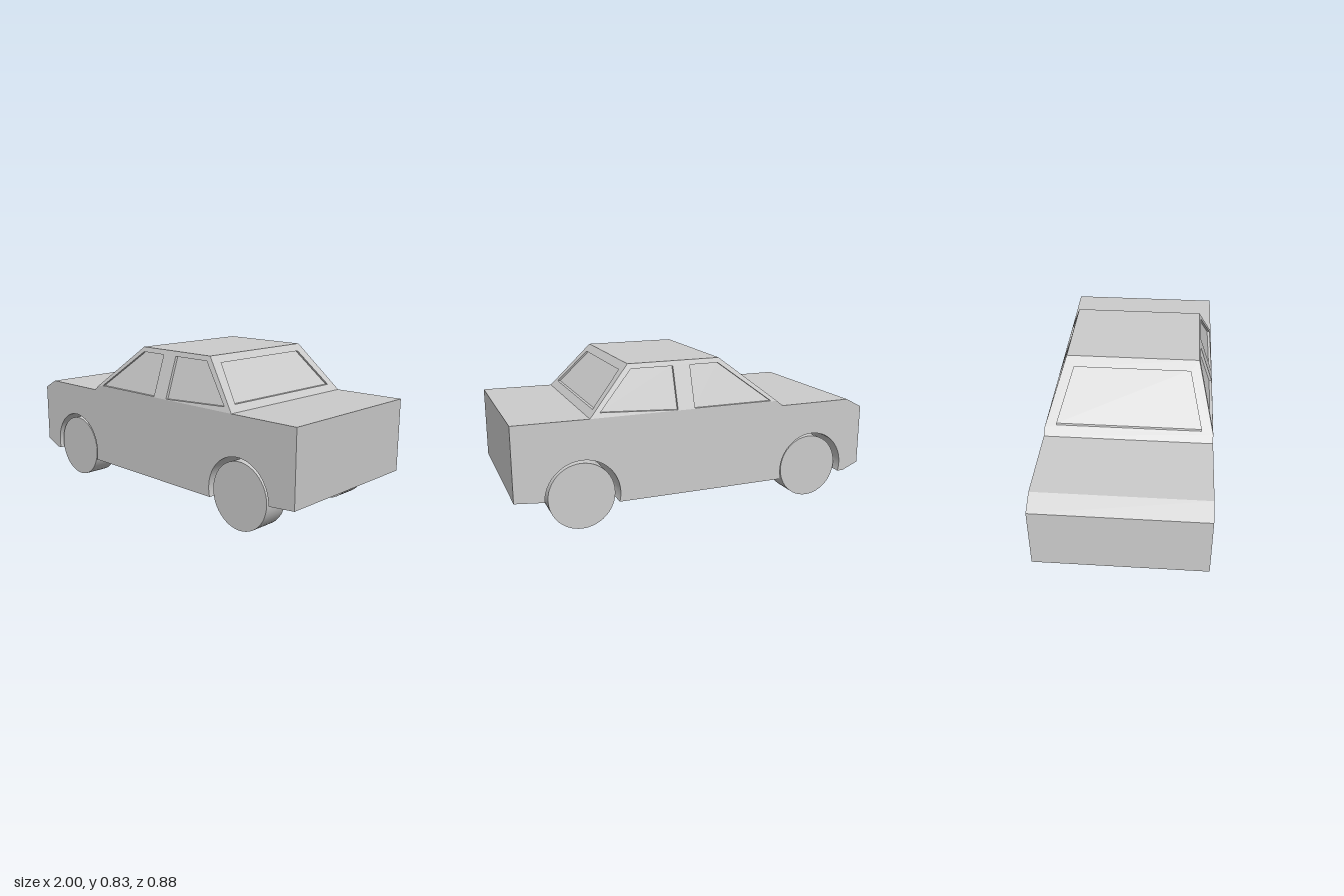
import * as THREE from 'three';
import { toCreasedNormals, mergeGeometries } from 'three/addons/utils/BufferGeometryUtils.js';

const grey = new THREE.MeshStandardMaterial({ color: 0xcccccc });
const greyDouble = new THREE.MeshStandardMaterial({ color: 0xcccccc, side: THREE.DoubleSide });

const HALF = 0.44, ROOF_HALF = 0.357, SILL = 0.585, ROOF = 0.832, INSET = 0.015;
const toShape = pts => new THREE.Shape(pts.map(p => new THREE.Vector2(...p)));

function addMesh(parent, name, geometry, material = grey) {
  const mesh = new THREE.Mesh(geometry, material);
  mesh.name = name;
  parent.add(mesh);
  return mesh;
}

// Flat shape laid onto a sloping face by the rule place(u, v, depth) -> [x, y, z]
function laidShape(shape, place, depth) {
  const g = new THREE.ShapeGeometry(shape);
  const p = g.attributes.position;
  for (let i = 0; i < p.count; i++) p.setXYZ(i, ...place(p.getX(i), p.getY(i), depth));
  g.computeVertexNormals();
  return g;
}

// Cabin face: frame with window openings, sunken panes and the reveals between them
function cabinFace(name, outline, windows, place) {
  const group = new THREE.Group();
  group.name = name;
  const frame = toShape(outline);
  frame.holes = windows.map(w => new THREE.Path(w.map(p => new THREE.Vector2(...p))));
  addMesh(group, 'windowFrame', laidShape(frame, place, 0));
  for (const w of windows) {
    addMesh(group, 'windowPane', laidShape(toShape(w), place, INSET));
    const reveals = w.map((a, i) => {
      const b = w[(i + 1) % w.length];
      const g = new THREE.BufferGeometry();
      const corners = [place(...a, 0), place(...b, 0), place(...b, INSET), place(...a, INSET)];
      g.setAttribute('position', new THREE.Float32BufferAttribute(corners.flat(), 3));
      g.setIndex([0, 1, 2, 0, 2, 3]);
      g.computeVertexNormals();
      return g;
    });
    addMesh(group, 'windowReveal', mergeGeometries(reveals), greyDouble);
  }
  return group;
}

export function createModel() {
  const car = new THREE.Group();
  car.name = 'car';
  const lerp = THREE.MathUtils.lerp;
  const wheelX = [-0.68, 0.65], axleY = 0.18, archR = 0.197, dip = 0.2566;

  // Lower body: side profile with wheel arches running across the full width
  const profile = new THREE.Shape();
  profile.moveTo(-1, 0.17);
  profile.lineTo(-0.905, 0.13);
  profile.absarc(wheelX[0], axleY, archR, Math.PI + dip, -dip, true);
  profile.absarc(wheelX[1], axleY, archR, Math.PI + dip, 0, true);
  for (const [x, y] of [[1, 0.195], [1, 0.588], [0.605, SILL], [-0.447, SILL],
    [-0.485, 0.555], [-0.905, 0.555], [-1, 0.505]]) profile.lineTo(x, y);
  const body = new THREE.ExtrudeGeometry(profile, { depth: 2 * HALF, bevelEnabled: false, curveSegments: 32 });
  body.translate(0, 0, -HALF);
  addMesh(car, 'body', toCreasedNormals(body, 0.35));

  // Cabin sides, leaning inwards above the sill
  const up = y => (y - SILL) / (ROOF - SILL);
  const sideOutline = [[-0.447, SILL], [0.605, SILL], [0.38, ROOF], [-0.13, ROOF]];
  const sideWindows = [
    [[-0.41, 0.588], [0.04, 0.588], [0.04, 0.806], [-0.122, 0.806]],
    [[0.135, 0.588], [0.55, 0.61], [0.365, 0.806], [0.135, 0.806]],
  ];
  for (const s of [1, -1]) {
    const flip = pts => pts.map(([x, y]) => [s * x, y]);
    const place = (u, y, d) => [s * u, y, s * (lerp(HALF, ROOF_HALF, up(y)) - d)];
    car.add(cabinFace(s > 0 ? 'leftCabinSide' : 'rightCabinSide',
      flip(sideOutline), sideWindows.map(flip), place));
  }

  // Windscreen and rear window
  const trapezoid = (w0, y0, w1, y1) => [[-w0, y0], [w0, y0], [w1, y1], [-w1, y1]];
  car.add(cabinFace('windscreen',
    trapezoid(HALF, SILL, ROOF_HALF, ROOF), [trapezoid(0.38, 0.594, 0.312, 0.793)],
    (u, y, d) => [lerp(-0.447, -0.13, up(y)) + d, y, u]));
  car.add(cabinFace('rearWindow',
    trapezoid(HALF, SILL, ROOF_HALF, ROOF), [trapezoid(0.38, 0.618, 0.31, 0.797)],
    (u, y, d) => [lerp(0.605, 0.38, up(y)) - d, y, -u]));

  // Roof
  const roof = new THREE.PlaneGeometry(0.51, 2 * ROOF_HALF).rotateX(-Math.PI / 2);
  addMesh(car, 'roof', roof, greyDouble).position.set(0.125, ROOF, 0);

  // Wheels
  const wheel = new THREE.CylinderGeometry(0.176, 0.176, 0.14, 48).rotateX(Math.PI / 2);
  for (const x of wheelX)
    for (const z of [0.358, -0.342]) addMesh(car, 'wheel', wheel).position.set(x, 0.177, z);

  return car;
}
